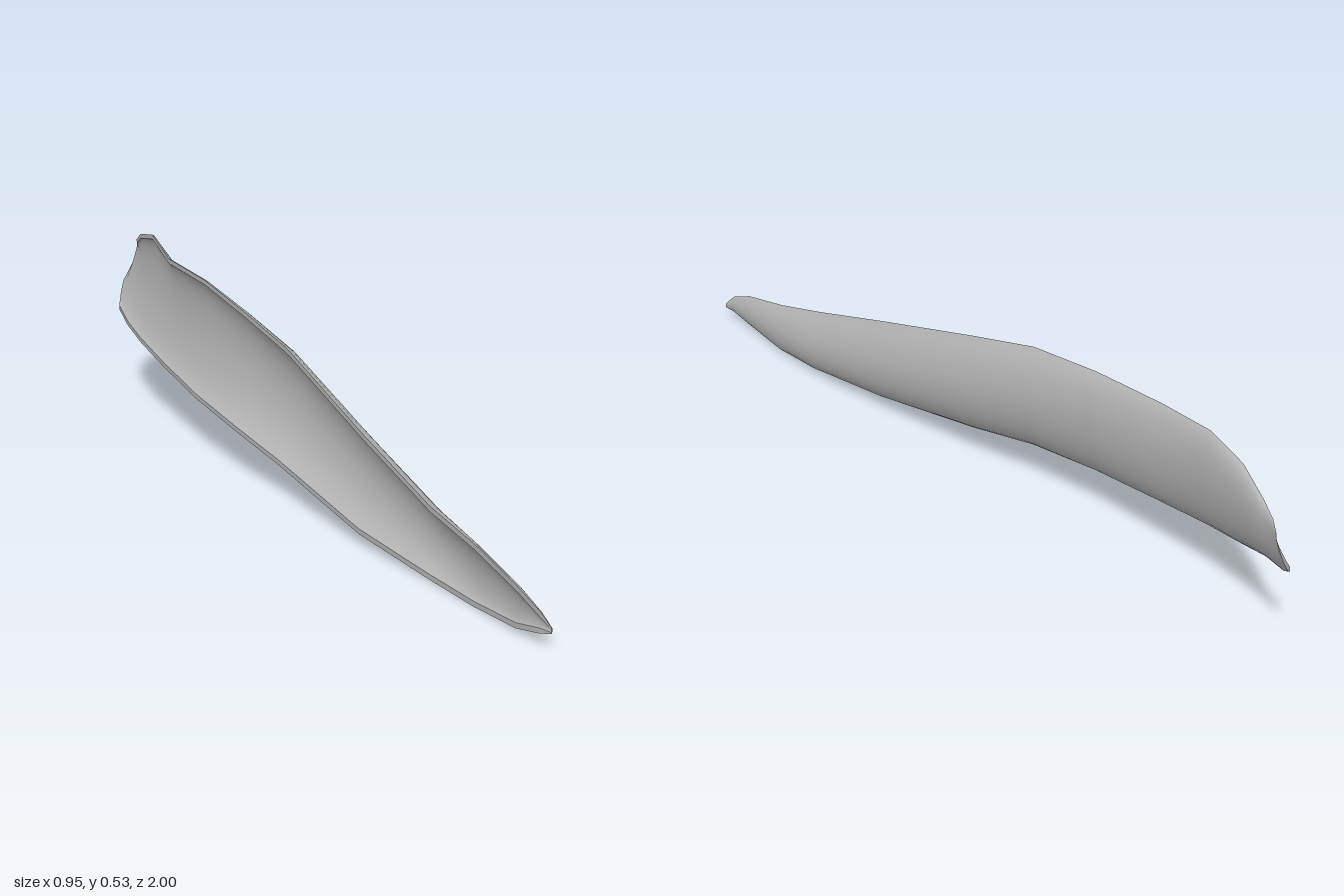
import * as THREE from 'three';

// Stations from the pointed tip to the broad end:
// [z bottom, z top, y bottom, y top, x bottom rim, x top rim, x of the belly]
const STATIONS = [
  [1.0, 1.0, 0.035, 0.05, -0.473, -0.473, -0.467],
  [0.97, 0.97, 0.028, 0.08, -0.472, -0.472, -0.455],
  [0.9, 0.9, 0.013, 0.11, -0.45, -0.447, -0.415],
  [0.75, 0.75, 0, 0.15, -0.38, -0.38, -0.333],
  [0.6, 0.6, 0.007, 0.19, -0.325, -0.33, -0.257],
  [0.34, 0.34, 0.033, 0.28, -0.24, -0.222, -0.143],
  [0, 0, 0.1, 0.4, -0.11, -0.07, 0],
  [-0.2, -0.2, 0.14, 0.455, -0.045, 0, 0.065],
  [-0.4, -0.4, 0.168, 0.487, 0.04, 0.092, 0.135],
  [-0.6, -0.6, 0.2, 0.5, 0.14, 0.18, 0.225],
  [-0.75, -0.75, 0.225, 0.53, 0.22, 0.285, 0.31],
  [-0.85, -0.85, 0.245, 0.507, 0.28, 0.348, 0.372],
  [-0.93, -0.92, 0.268, 0.47, 0.335, 0.41, 0.422],
  [-0.98, -0.955, 0.288, 0.453, 0.4, 0.45, 0.45],
  [-1.0, -0.97, 0.315, 0.435, 0.435, 0.472, 0.468],
];
const STEPS = 14;
const THICK = 0.022;

// One bowed section from bottom to top; inset > 0 gives the hollow side
function section([zb, zt, yb, yt, xb, xt, xm], inset) {
  const edge = Math.min(inset * 0.6, (yt - yb) * 0.25);
  const full = xm - (xb + xt) / 2;
  const bulge = Math.max(full - inset, full * 0.3);
  const pts = [];
  for (let j = 0; j <= STEPS; j++) {
    const a = (j / STEPS) * Math.PI;
    const t = (1 - Math.cos(a)) / 2;
    pts.push(new THREE.Vector3(
      THREE.MathUtils.lerp(xb, xt, t) + bulge * Math.pow(Math.max(Math.sin(a), 0), 1.2),
      THREE.MathUtils.lerp(yb + edge, yt - edge, t),
      THREE.MathUtils.lerp(zb, zt, t)));
  }
  return pts;
}

// Surface through rows of points
function skin(rows) {
  const n = rows[0].length;
  const geo = new THREE.BufferGeometry().setFromPoints(rows.flat());
  const index = [];
  for (let i = 0; i < rows.length - 1; i++) {
    for (let j = 0; j < n - 1; j++) {
      const a = i * n + j, b = a + n;
      index.push(a, b, a + 1, b, b + 1, a + 1);
    }
  }
  geo.setIndex(index);
  geo.computeVertexNormals();
  return geo;
}

export function createModel() {
  const group = new THREE.Group();
  group.name = 'curvedBlade';
  const grey = new THREE.MeshStandardMaterial({ color: 0xb0b0b0 });
  grey.name = 'grey';

  const outer = STATIONS.map((s) => section(s, 0));
  const inner = STATIONS.map((s) => section(s, THICK));
  const last = STATIONS.length - 1;

  const parts = {
    outerFace: outer,
    hollowFace: inner.map((r) => [...r].reverse()),
    topRim: outer.map((r, i) => [r[STEPS], inner[i][STEPS]]),
    bottomRim: outer.map((r, i) => [inner[i][0], r[0]]),
    tipRim: [inner[0], outer[0]],
    broadEndRim: [outer[last], inner[last]],
  };
  for (const [name, rows] of Object.entries(parts)) {
    const mesh = new THREE.Mesh(skin(rows), grey);
    mesh.name = name;
    group.add(mesh);
  }
  return group;
}
